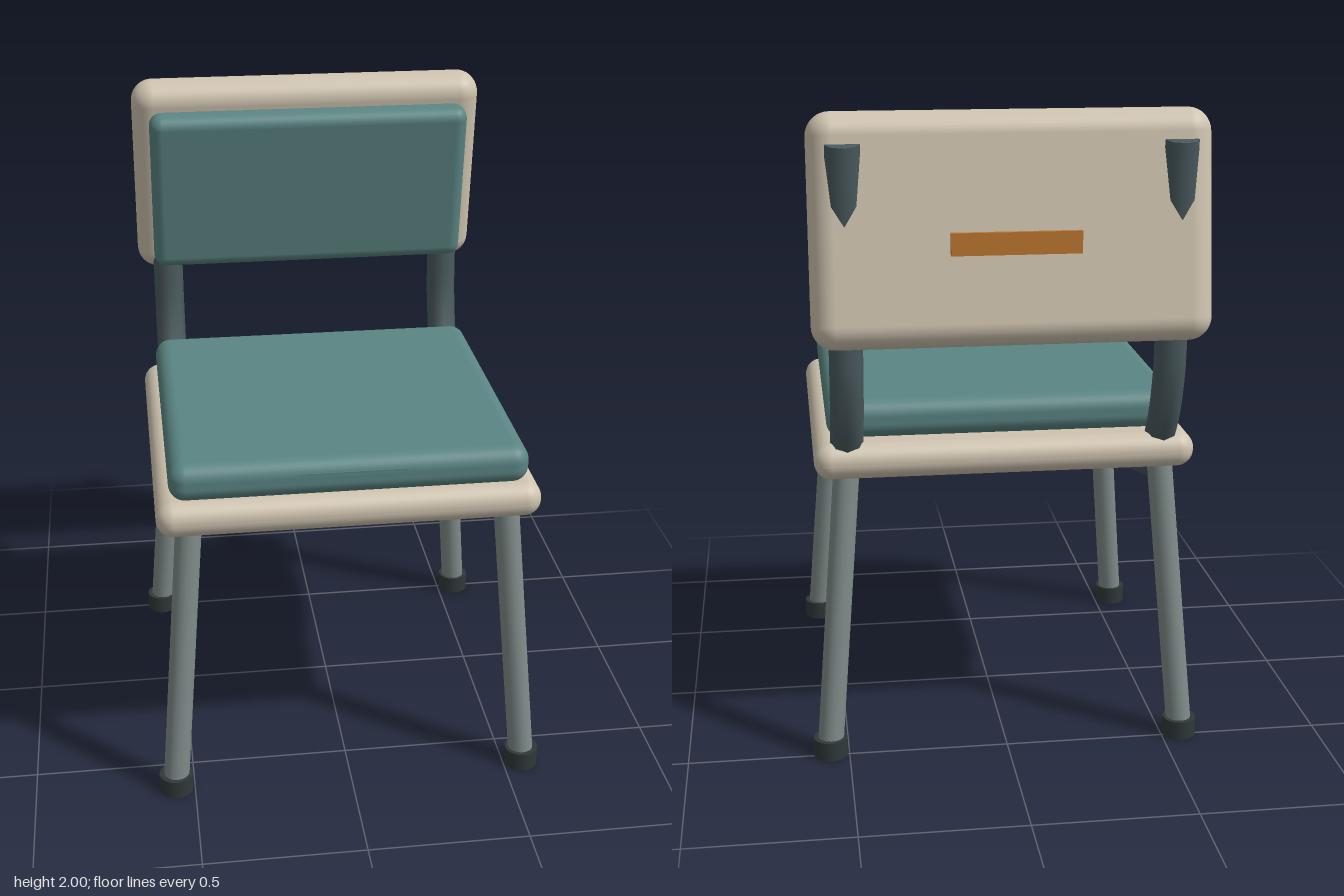
import * as THREE from 'three';
import { RoundedBoxGeometry } from 'three/addons/geometries/RoundedBoxGeometry.js';

const paint = (color) => new THREE.MeshStandardMaterial({ color });

export function createModel() {
  const chair = new THREE.Group();
  chair.name = 'chair';
  const cream = paint(0xcfc4b0), teal = paint(0x5a8583), steel = paint(0x7f8c89);
  const darkSteel = paint(0x4a5a5e), rubber = paint(0x2f3838), orange = paint(0xc07830);

  const add = (parent, name, geometry, material, x = 0, y = 0, z = 0) => {
    const mesh = new THREE.Mesh(geometry, material);
    mesh.name = name;
    mesh.position.set(x, y, z);
    parent.add(mesh);
    return mesh;
  };
  const rounded = (w, h, d, r) => new RoundedBoxGeometry(w, h, d, 5, r);

  // Seat: board, cushion and a fine front seam
  add(chair, 'seatBoard', rounded(1.168, 0.11, 1.14, 0.053), cream, 0, 0.95, 0.07);
  add(chair, 'seatCushion', rounded(1.085, 0.12, 1.05, 0.05), teal, 0, 1.065, 0.095);
  add(chair, 'seatSeam', new THREE.BoxGeometry(0.33, 0.006, 0.01), teal, 0, 1.085, 0.616);

  // Backrest: board and cushion share one tilt
  const backrest = new THREE.Group();
  backrest.name = 'backrest';
  backrest.position.set(0, 1.667, -0.557);
  backrest.rotation.x = 0.15;
  chair.add(backrest);
  add(backrest, 'backBoard', rounded(1.168, 0.675, 0.15, 0.07), cream);
  add(backrest, 'backCushion', rounded(1.06, 0.545, 0.1, 0.04), teal, 0, -0.012, 0.107);

  // Upright tag behind the backrest
  add(chair, 'backTag', new THREE.BoxGeometry(0.375, 0.065, 0.014), orange, 0, 1.642, -0.661);

  // Bent side tubes, running under the seat and up behind the backrest
  const path = [
    [0.935, 0.55], [0.88, 0.25], [0.833, -0.09], [0.875, -0.31], [1.03, -0.455],
    [1.2, -0.522], [1.4, -0.54], [1.7, -0.58], [1.918, -0.6],
  ].map(([y, z]) => new THREE.Vector3(0, y, z));
  const tube = new THREE.TubeGeometry(new THREE.CatmullRomCurve3(path), 48, 0.05, 8);
  const cap = new THREE.CircleGeometry(0.05, 8);

  // Splayed legs with upright rubber feet
  const up = new THREE.Vector3(0, 1, 0);
  const foot = new THREE.CylinderGeometry(0.053, 0.053, 0.06, 16);
  for (const [side, s] of [['left', 1], ['right', -1]]) {
    add(chair, side + 'FrameTube', tube, darkSteel, s * 0.483);
    add(chair, side + 'TubeCap', cap, darkSteel, s * 0.483, 1.918, -0.6).rotation.x = -Math.PI / 2 - 0.09;
    for (const [end, zTop, zFoot] of [['Front', 0.556, 0.627], ['Back', -0.417, -0.492]]) {
      const top = new THREE.Vector3(s * 0.485, 0.92, zTop);
      const low = new THREE.Vector3(s * 0.558, 0.03, zFoot);
      const along = top.clone().sub(low);
      const leg = add(chair, side + end + 'Leg',
        new THREE.CylinderGeometry(0.04, 0.04, along.length(), 16), steel);
      leg.position.copy(low).addScaledVector(along, 0.5);
      leg.quaternion.setFromUnitVectors(up, along.normalize());
      add(chair, side + end + 'Foot', foot, rubber, low.x, 0.03, zFoot);
    }
  }
  return chair;
}
